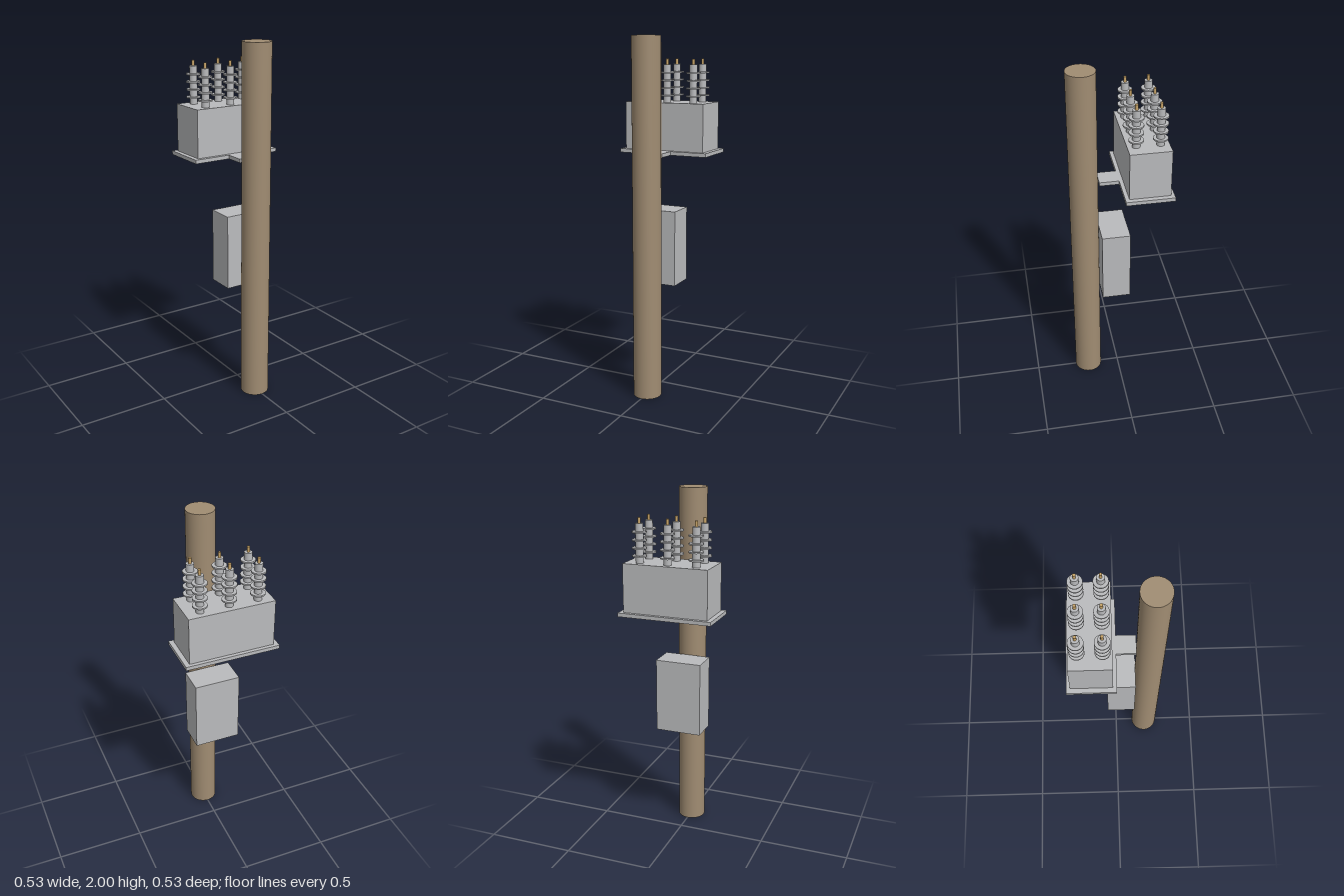
import * as THREE from 'three';

export function createModel() {
  const model = new THREE.Group();
  model.name = 'poleMountedSwitch';

  const wood = new THREE.MeshStandardMaterial({ name: 'wood brown', color: 0xa08c72 });
  const steel = new THREE.MeshStandardMaterial({ name: 'steel grey', color: 0xbabbbd });
  const brass = new THREE.MeshStandardMaterial({ name: 'brass', color: 0xc8a468 });

  // Box given by its lower and upper limits
  function box(name, [x0, y0, z0], [x1, y1, z1]) {
    const mesh = new THREE.Mesh(new THREE.BoxGeometry(x1 - x0, y1 - y0, z1 - z0), steel);
    mesh.position.set((x0 + x1) / 2, (y0 + y1) / 2, (z0 + z1) / 2);
    mesh.name = name;
    model.add(mesh);
  }

  // Upright cylinder given by its bottom and top heights
  function rod(parent, name, radius, y0, y1, material, sides = 32) {
    const mesh = new THREE.Mesh(new THREE.CylinderGeometry(radius, radius, y1 - y0, sides), material);
    mesh.position.y = (y0 + y1) / 2;
    mesh.name = name;
    parent.add(mesh);
    return mesh;
  }

  // Pole
  rod(model, 'pole', 0.0785, 0, 2, wood, 64).position.z = 0.184;

  // T-shaped bracket plate: wide shelf with a tongue reaching the pole
  const plate = new THREE.Shape([
    [-0.263, 0.264], [-0.263, 0.002], [-0.0525, 0.002], [-0.0525, -0.105],
    [0.0525, -0.105], [0.0525, 0.002], [0.263, 0.002], [0.263, 0.264],
  ].map(([x, y]) => new THREE.Vector2(x, y)));
  const bracketGeometry = new THREE.ExtrudeGeometry(plate, { depth: 0.021, bevelEnabled: false });
  bracketGeometry.rotateX(-Math.PI / 2);
  const bracket = new THREE.Mesh(bracketGeometry, steel);
  bracket.position.y = 1.35;
  bracket.name = 'bracketPlate';
  model.add(bracket);

  // Switch tank on the plate and control cabinet below it
  box('tank', [-0.237, 1.371, -0.244], [0.237, 1.636, -0.023]);
  box('controlCabinet', [-0.131, 0.635, -0.053], [0.131, 1.056, 0.105]);

  // Two rows of three bushings with sheds and brass terminals
  for (const z of [-0.196, -0.07]) {
    for (const x of [-0.158, 0, 0.158]) {
      const bushing = new THREE.Group();
      bushing.name = 'bushing';
      bushing.position.set(x, 1.636, z);
      rod(bushing, 'bushingCore', 0.021, 0, 0.208, steel);
      for (let i = 0; i < 4; i++) {
        const y = 0.037 + i * 0.042;
        rod(bushing, 'shed', 0.039, y - 0.004, y + 0.004, steel);
      }
      rod(bushing, 'terminal', 0.008, 0.208, 0.238, brass, 20);
      model.add(bushing);
    }
  }

  return model;
}
